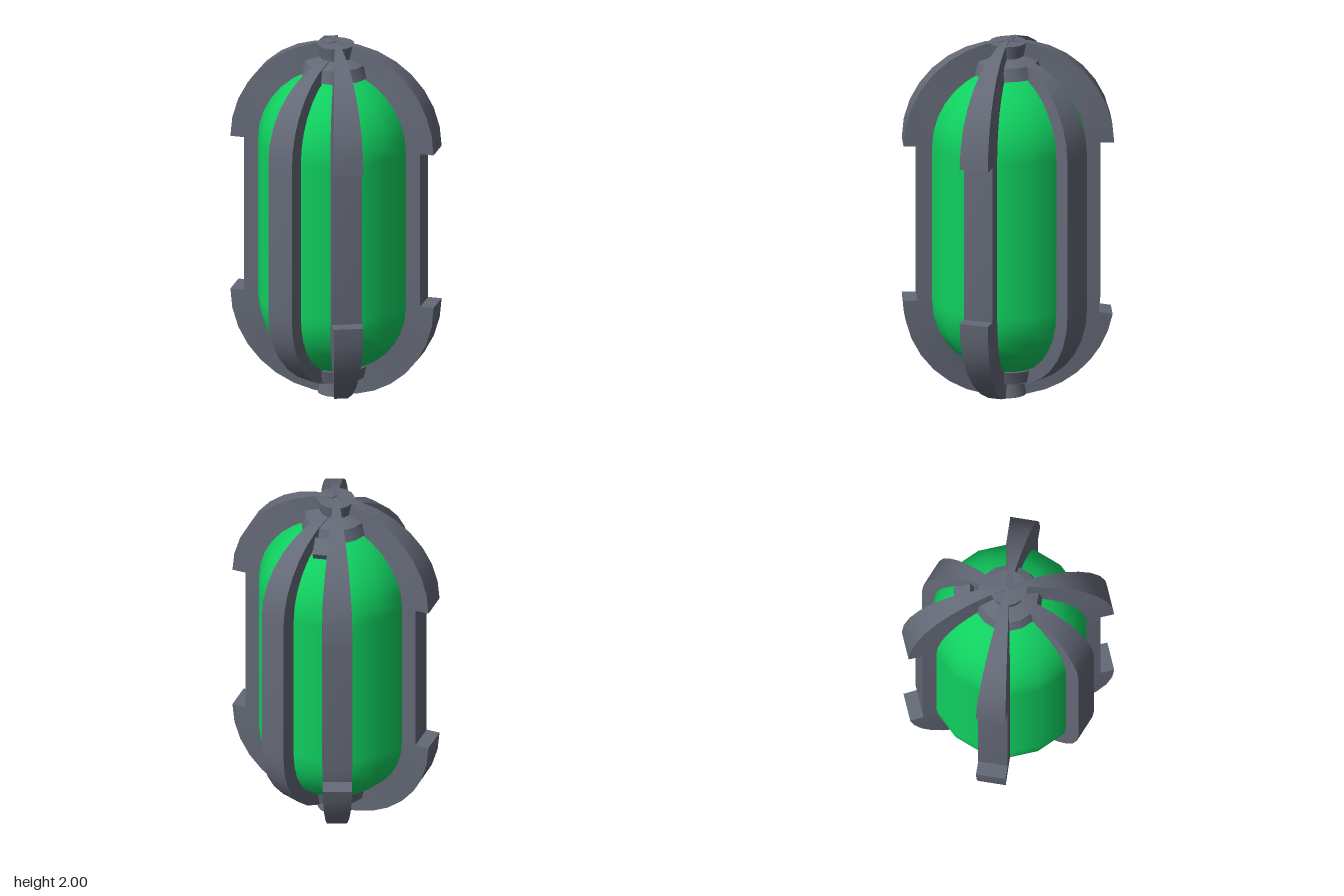
import * as THREE from 'three';
import { toCreasedNormals } from 'three/addons/utils/BufferGeometryUtils.js';

const TOP = 1.435, BOTTOM = 0.565; // centres of the rounded ends
const rad = THREE.MathUtils.degToRad;

// Joins rectangular stations { w, outer:[r,y], inner:[r,y] } from bottom to top into a closed bar facing +z.
function sweep(stations) {
  const pos = [];
  const rings = stations.map(({ w, outer, inner }) => [
    [-w, outer[1], outer[0]], [w, outer[1], outer[0]],
    [w, inner[1], inner[0]], [-w, inner[1], inner[0]],
  ]);
  const quad = (a, b, c, d) => pos.push(...a, ...b, ...c, ...a, ...c, ...d);
  for (let s = 0; s < rings.length - 1; s++) {
    const p = rings[s], q = rings[s + 1];
    for (let i = 0; i < 4; i++) {
      const j = (i + 1) % 4;
      quad(p[i], p[j], q[j], q[i]);
    }
  }
  const f = rings[0], l = rings[rings.length - 1];
  quad(f[0], f[3], f[2], f[1]);
  quad(l[0], l[1], l[2], l[3]);
  const g = new THREE.BufferGeometry();
  g.setAttribute('position', new THREE.Float32BufferAttribute(pos, 3));
  return toCreasedNormals(g, 0.5);
}

// Stations along a quarter arc, narrowing towards the pole.
function arc(centreY, fromDeg, toDeg, outerR, innerR, steps = 8) {
  const list = [];
  for (let i = 0; i <= steps; i++) {
    const t = rad(fromDeg + (toDeg - fromDeg) * i / steps);
    const c = Math.cos(t), s = Math.sin(t);
    list.push({
      w: 0.008 + 0.072 * c,
      outer: [outerR * c, centreY + outerR * s],
      inner: [innerR * c, centreY + innerR * s],
    });
  }
  return list;
}

export function createModel() {
  const group = new THREE.Group();
  const green = new THREE.MeshStandardMaterial({ color: 0x10d060 });
  green.name = 'green glass';
  const grey = new THREE.MeshStandardMaterial({ color: 0x646977 });
  grey.name = 'grey metal';

  function add(name, geometry, material, parent = group) {
    const mesh = new THREE.Mesh(geometry, material);
    mesh.name = name;
    parent.add(mesh);
    return mesh;
  }

  // Glowing inner capsule
  add('capsuleCore', new THREE.CapsuleGeometry(0.42, TOP - BOTTOM, 8, 16), green).position.y = 1;

  // Cage ribs; the four diagonal ones carry raised end guards
  const ribGeometry = sweep([...arc(BOTTOM, -89, 0, 0.49, 0.36), ...arc(TOP, 0, 89, 0.49, 0.36)]);
  const topGuard = sweep(arc(TOP, 0, 89, 0.565, 0.475));
  const bottomGuard = sweep(arc(BOTTOM, -89, 0, 0.565, 0.475));
  const shortGuard = sweep(arc(BOTTOM, -89, -10, 0.565, 0.475));
  const ribs = [
    { name: 'frontLeftRib', angle: 33.7, guard: bottomGuard },
    { name: 'frontRightRib', angle: -33.7, guard: bottomGuard },
    { name: 'backLeftRib', angle: 146.3, guard: shortGuard },
    { name: 'backRightRib', angle: -146.3, guard: bottomGuard },
    { name: 'leftRib', angle: 101.8 },
    { name: 'rightRib', angle: -78.2 },
  ];
  for (const { name, angle, guard } of ribs) {
    const rib = new THREE.Group();
    rib.name = name;
    rib.rotation.y = rad(angle);
    group.add(rib);
    add('ribBar', ribGeometry, grey, rib);
    if (guard) {
      add('topGuard', topGuard, grey, rib);
      add('bottomGuard', guard, grey, rib);
    }
  }

  // Flared collar and end knob at each pole
  const profile = [[0, 0.81], [0.185, 0.82], [0.165, 0.89], [0.085, 0.915], [0.1, 0.99], [0, 0.992]];
  const lathe = (points) => toCreasedNormals(
    new THREE.LatheGeometry(points.map(([r, y]) => new THREE.Vector2(r, y)), 16), 0.5);
  add('topCollar', lathe(profile), grey).position.y = 1;
  add('bottomCollar', lathe(profile.map(([r, y]) => [r, -y]).reverse()), grey).position.y = 1;

  // Small tilted catch beside the top collar
  const catchBlock = add('collarCatch', new THREE.BoxGeometry(0.08, 0.05, 0.1), grey);
  catchBlock.position.set(0.19, 1.815, -0.14);
  catchBlock.rotation.set(rad(30), rad(135), 0, 'YXZ');

  return group;
}
